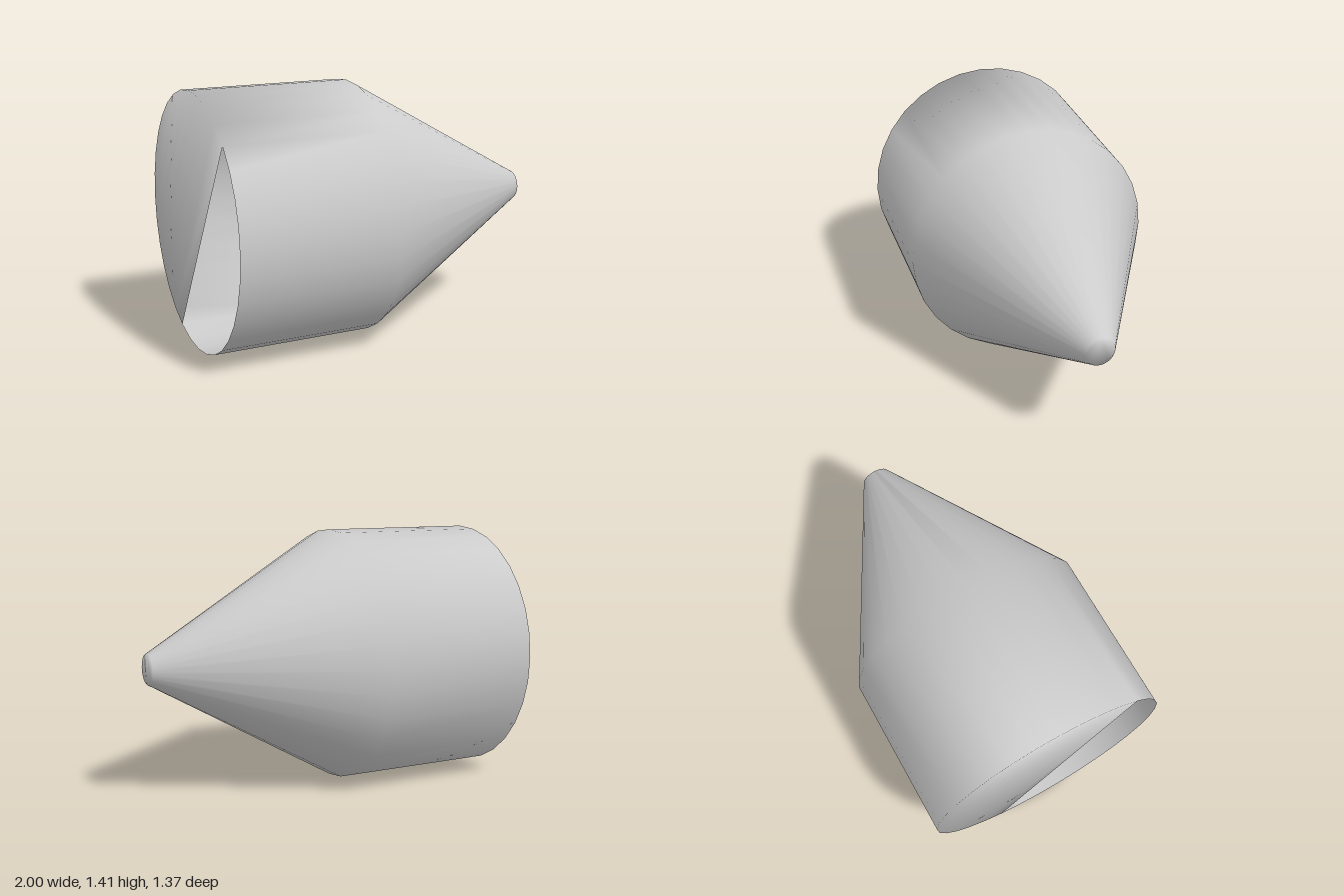
import * as THREE from 'three';

const SIDES = 32;
const RY = 0.705, RZ = 0.683; // slightly oval section

export function createModel() {
  const group = new THREE.Group();
  const positions = [], index = [];

  // Cross-section rings along x: rear rim, shoulder, blunt tip
  const rings = [[-1, 1], [-0.1, 1], [1, 0.118]];
  for (const [x, scale] of rings) {
    for (let i = 0; i < SIDES; i++) {
      const a = (i / SIDES) * Math.PI * 2;
      positions.push(x, RY + RY * scale * Math.cos(a), RZ * scale * Math.sin(a));
    }
  }
  const at = (ring, i) => ring * SIDES + (i % SIDES);

  // Straight barrel and tapering nose
  for (let r = 0; r < rings.length - 1; r++) {
    for (let i = 0; i < SIDES; i++) {
      index.push(at(r, i), at(r, i + 1), at(r + 1, i));
      index.push(at(r, i + 1), at(r + 1, i + 1), at(r + 1, i));
    }
  }

  // Closed tip
  for (let i = 1; i < SIDES - 1; i++) index.push(at(2, 0), at(2, i), at(2, i + 1));

  // Rear plate covers only one side of the opening, up to a slanted chord;
  // triangles zigzag between both ends of its arc
  let lo = 18, hi = 36;
  while (hi - lo > 1) {
    index.push(at(0, lo), at(0, hi), at(0, lo + 1));
    lo++;
    if (hi - lo > 1) {
      index.push(at(0, lo), at(0, hi), at(0, hi - 1));
      hi--;
    }
  }

  const geometry = new THREE.BufferGeometry();
  geometry.setAttribute('position', new THREE.Float32BufferAttribute(positions, 3));
  geometry.setIndex(index);
  geometry.computeVertexNormals();

  const shell = new THREE.Mesh(
    geometry,
    new THREE.MeshStandardMaterial({ color: 0xcccccc, side: THREE.DoubleSide })
  );
  shell.name = 'taperedShell';
  group.add(shell);
  return group;
}
